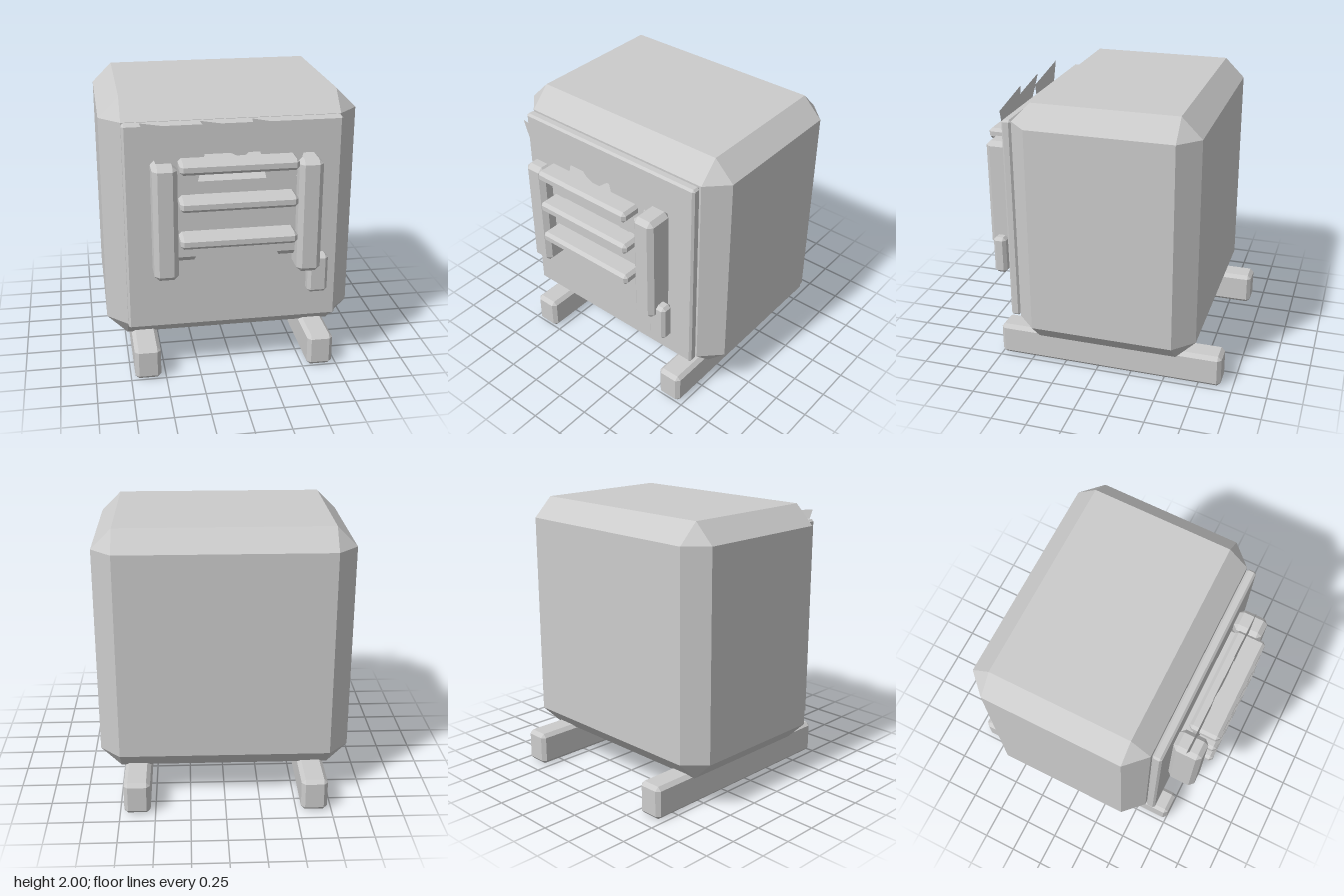
import * as THREE from 'three';
import { ConvexGeometry } from 'three/addons/geometries/ConvexGeometry.js';

const grey = new THREE.MeshStandardMaterial({ color: 0xcccccc, flatShading: true });
const greyThin = new THREE.MeshStandardMaterial({ color: 0xcccccc, flatShading: true, side: THREE.DoubleSide });

// Box with all edges cut at 45 degrees, given by its min/max ranges
function chamferBox(name, [x0, x1], [y0, y1], [z0, z1], c) {
  const size = [x1 - x0, y1 - y0, z1 - z0];
  const points = [];
  for (const sx of [-1, 1]) for (const sy of [-1, 1]) for (const sz of [-1, 1]) {
    for (let full = 0; full < 3; full++) {
      const p = [sx, sy, sz].map((s, i) => s * (size[i] / 2 - (i === full ? 0 : c)));
      points.push(new THREE.Vector3(...p));
    }
  }
  const mesh = new THREE.Mesh(new ConvexGeometry(points), grey);
  mesh.name = name;
  mesh.position.set((x0 + x1) / 2, (y0 + y1) / 2, (z0 + z1) / 2);
  return mesh;
}

// Flat sheet cut from an outline
function sheet(name, outline, z) {
  const shape = new THREE.Shape(outline.map(([x, y]) => new THREE.Vector2(x, y)));
  const mesh = new THREE.Mesh(new THREE.ShapeGeometry(shape), greyThin);
  mesh.name = name;
  mesh.position.z = z;
  return mesh;
}

export function createModel() {
  const model = new THREE.Group();
  model.name = 'furnace';

  // Main body and door
  model.add(chamferBox('body', [-0.893, 0.893], [0.22, 2], [-0.735, 0.575], 0.143));
  model.add(chamferBox('door', [-0.75, 0.75], [0.36, 1.86], [0.58, 0.65], 0.015));

  // Runners under the body
  for (const side of [-1, 1]) {
    const x = side * 0.628;
    model.add(chamferBox('runner', [x - 0.093, x + 0.093], [0, 0.24], [-0.913, 0.752], 0.027));
  }

  // Window block with its side posts
  model.add(chamferBox('windowBlock', [-0.45, 0.45], [0.905, 1.53], [0.6, 0.766], 0.042));
  for (const side of [-1, 1]) {
    const x = side * 0.49;
    model.add(chamferBox('windowPost', [x - 0.083, x + 0.083], [0.812, 1.626], [0.65, 0.862], 0.033));
  }

  // Grate bars
  for (const y of [1.098, 1.36, 1.618]) {
    model.add(chamferBox('grateBar', [-0.398, 0.392], [y - 0.04, y + 0.04], [0.69, 0.912], 0.022));
  }

  // Door handle
  model.add(chamferBox('handle', [0.498, 0.64], [0.63, 0.912], [0.72, 0.815], 0.022));

  // Flat flame sheets and the ember bed
  model.add(sheet('flameLeft', [
    [-0.64, 1.905], [-0.18, 1.83], [-0.33, 1.23], [-0.41, 1.34], [-0.54, 1.62],
  ], 0.77));
  model.add(sheet('flameRight', [
    [-0.25, 1.905], [-0.18, 1.815], [-0.07, 1.69], [0.03, 1.64], [0.14, 1.73], [0.21, 1.43], [0.29, 1.27],
    [0.32, 1.45], [0.37, 1.39], [0.41, 1.52], [0.49, 1.83], [0.095, 1.905], [0.11, 1.845],
  ], 0.771));
  model.add(sheet('emberBed', [
    [-0.38, 0.78], [0.37, 0.78], [0.28, 0.95], [-0.28, 0.95],
  ], 0.768));

  return model;
}
